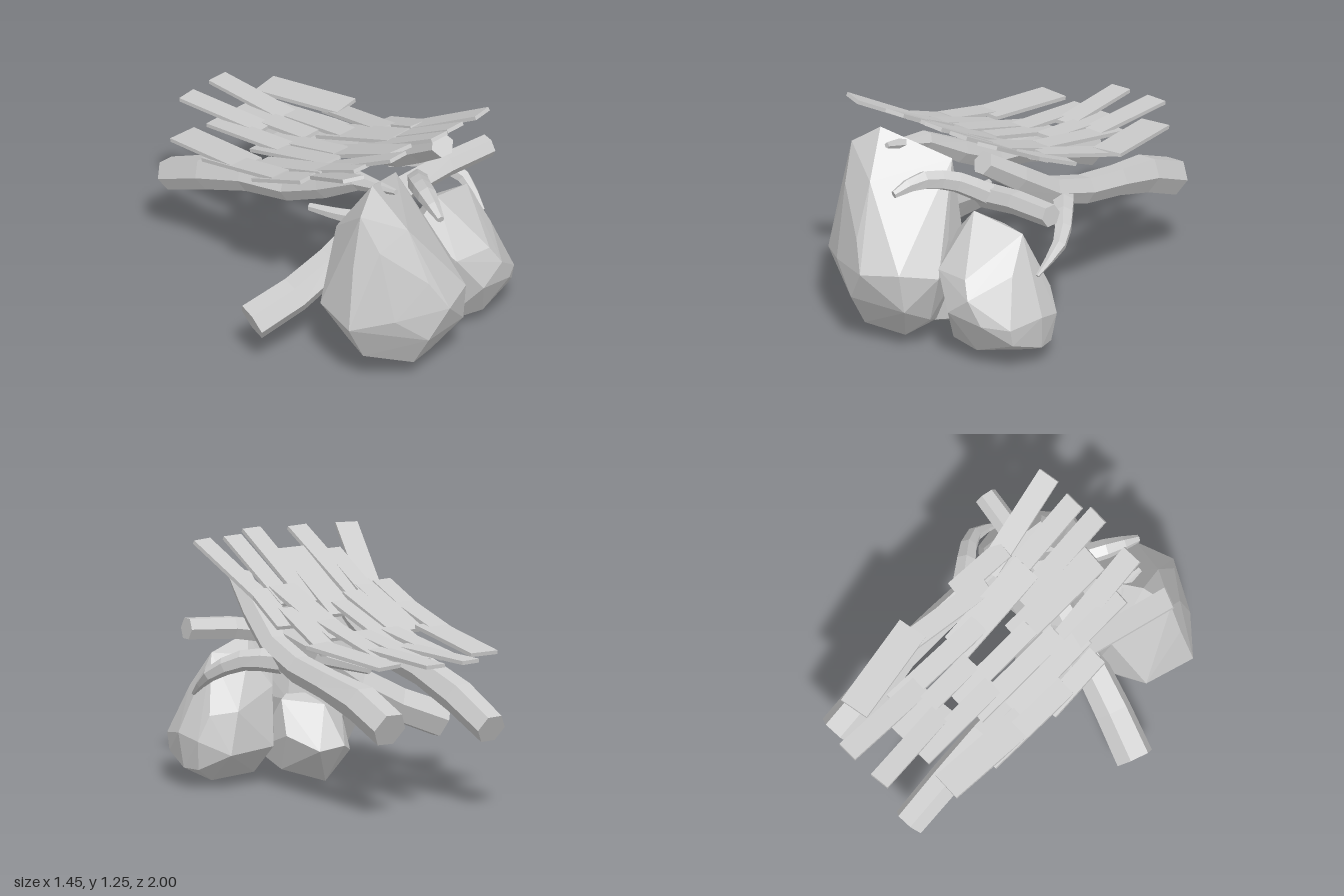
import * as THREE from 'three';
import { ConvexGeometry } from 'three/addons/geometries/ConvexGeometry.js';

const material = new THREE.MeshStandardMaterial({ color: 0xcccccc, flatShading: true });
const vec = (p) => new THREE.Vector3(p[0], p[1], p[2]);

function addMesh(group, name, geometry) {
  const mesh = new THREE.Mesh(geometry, material);
  mesh.name = name;
  group.add(mesh);
  return mesh;
}

// Closed, tapering, faceted log along a curve; each point is [x, y, z, radius]
function logGeometry(points, sides = 6, steps = 6) {
  const curve = new THREE.CatmullRomCurve3(points.map(vec));
  const { normals, binormals } = curve.computeFrenetFrames(steps);
  const last = points.length - 1;
  const pos = [], index = [];
  const addRing = (i, closed) => {
    const u = curve.getUtoTmapping(i / steps) * last;
    const k = Math.min(Math.floor(u), last - 1);
    const r = closed ? 0 : THREE.MathUtils.lerp(points[k][3], points[k + 1][3], u - k);
    const c = curve.getPointAt(i / steps);
    for (let j = 0; j < sides; j++) {
      const a = (j / sides) * Math.PI * 2;
      const p = c.clone().addScaledVector(normals[i], r * Math.cos(a))
        .addScaledVector(binormals[i], r * Math.sin(a));
      pos.push(p.x, p.y, p.z);
    }
  };
  addRing(0, true);
  for (let i = 0; i <= steps; i++) addRing(i, false);
  addRing(steps, true);
  for (let i = 0; i < steps + 2; i++) {
    for (let j = 0; j < sides; j++) {
      const n = (j + 1) % sides;
      const a = i * sides + j, d = i * sides + n, b = a + sides, c = d + sides;
      if (i > 0) index.push(a, d, b);
      if (i < steps + 1) index.push(d, c, b);
    }
  }
  const g = new THREE.BufferGeometry();
  g.setAttribute('position', new THREE.Float32BufferAttribute(pos, 3));
  g.setIndex(index);
  g.computeVertexNormals();
  return g;
}

// Sagging roof height at depth z
const roofHeight = (z) => 0.897 + 0.325 * z + 0.235 * z * z;

export function createModel() {
  const model = new THREE.Group();
  model.name = 'brokenRoofOnRocks';

  // Boulders
  const rocks = {
    tallRock: [
      [-0.28, 1.09, 0.62], [-0.2, 1.04, 0.56], [-0.42, 0.99, 0.68], [-0.2, 0.87, 0.8], [-0.38, 0.8, 0.78],
      [-0.48, 0.72, 0.69], [0.05, 0.95, 0.45], [0.15, 0.58, 0.6], [0.02, 0.72, 0.72], [-0.18, 0.6, 0.93],
      [-0.1, 0.45, 1.0], [0.21, 0.43, 0.75], [0.09, 0.47, 0.92], [-0.54, 0.38, 0.72], [-0.36, 0.42, 0.87],
      [-0.2, 0.28, 0.95], [0.1, 0.26, 0.89], [0.13, 0.17, 0.72], [-0.2, 0.1, 0.84], [0, 0.06, 0.76],
      [-0.13, 0.04, 0.72], [-0.3, 0.1, 0.62], [-0.42, 0.17, 0.7], [0, 0.06, 0.5], [-0.48, 0.4, 0.45],
      [-0.2, 0.3, 0.34], [0.1, 0.4, 0.4], [-0.3, 0.75, 0.38], [-0.12, 0.8, 0.44], [-0.3, 0.12, 0.46],
    ],
    shortRock: [
      [0.26, 0.75, 0.53], [0.53, 0.68, 0.47], [0.13, 0.6, 0.5], [0.4, 0.49, 0.77], [0.57, 0.5, 0.6],
      [0.2, 0.48, 0.74], [0.32, 0.3, 0.81], [0.45, 0.4, 0.81], [0.52, 0.27, 0.79], [0.7, 0.28, 0.52],
      [0.64, 0.25, 0.7], [0.68, 0.1, 0.5], [0.64, 0.16, 0.68], [0.55, 0.03, 0.44], [0.2, 0.06, 0.62],
      [0.42, 0.08, 0.7], [0.12, 0.15, 0.5], [0.3, 0.05, 0.42], [0.28, 0.2, 0.28], [0.55, 0.18, 0.27],
      [0.5, 0.4, 0.28], [0.25, 0.5, 0.33], [0.35, 0.66, 0.4], [0.62, 0.38, 0.36],
      [0.68, 0.25, 0.38], [0.66, 0.1, 0.4],
    ],
    backRock: [
      [0, 0, 0.22], [-0.08, 0.04, 0.36], [0.18, 0.06, 0.35], [0.2, 0.14, 0.55], [-0.14, 0.15, 0.2],
      [0.12, 0.18, 0.1], [-0.02, 0.2, 0.08], [0.22, 0.25, 0.25], [-0.16, 0.32, 0.3], [0.02, 0.4, 0.2],
      [0.18, 0.42, 0.35], [0, 0.45, 0.5], [-0.05, 0.05, 0.55],
    ],
  };
  for (const [name, points] of Object.entries(rocks)) {
    addMesh(model, name, new ConvexGeometry(points.map(vec)));
  }

  // Supporting logs with their tapering branches
  const logs = {
    rightLog: [[0.31, 1.03, 0.52, 0.065], [0.37, 0.87, 0.28, 0.075], [0.41, 0.72, 0.03, 0.075],
      [0.42, 0.63, -0.4, 0.08], [0.4, 0.58, -0.62, 0.1], [0.39, 0.47, -0.88, 0.1]],
    leftLog: [[-0.18, 1.04, 0.69, 0.015], [-0.17, 1.02, 0.52, 0.04], [-0.16, 0.87, 0.22, 0.065],
      [-0.15, 0.73, 0, 0.07], [-0.17, 0.64, -0.4, 0.08], [-0.19, 0.55, -0.66, 0.09],
      [-0.2, 0.42, -0.94, 0.085]],
    crossLog: [[-0.69, 0.25, 0.17, 0.1], [-0.35, 0.4, 0.27, 0.095], [0.02, 0.66, 0.34, 0.08],
      [0.22, 0.775, 0.38, 0.065], [0.7, 0.825, 0.45, 0.06]],
    hookedBranch: [[0.42, 0.69, 0.02, 0.065], [0.54, 0.69, 0.16, 0.055], [0.645, 0.61, 0.31, 0.04],
      [0.635, 0.48, 0.48, 0.01]],
    frontBranch: [[0.25, 0.79, 0.4, 0.06], [0.13, 0.88, 0.54, 0.055], [0.04, 0.91, 0.7, 0.05],
      [-0.01, 0.87, 0.84, 0.02]],
    backBranch: [[0, 0.63, 0.33, 0.05], [-0.06, 0.61, 0.15, 0.035], [-0.1, 0.595, -0.02, 0.022]],
  };
  for (const [name, points] of Object.entries(logs)) addMesh(model, name, logGeometry(points));

  // Roof planks, row by row: back x, back z, front x, front z, width
  const rows = {
    backPlank: [[-0.035, -0.99, 0.02, -0.47, 0.11], [0.19, -1, 0.19, -0.48, 0.115],
      [0.34, -0.81, 0.435, -0.31, 0.16], [-0.285, -0.76, -0.31, -0.24, 0.16]],
    upperPlank: [[-0.08, -0.74, -0.07, -0.22, 0.11], [0.09, -0.74, 0.1, -0.22, 0.11],
      [0.225, -0.64, 0.205, -0.06, 0.11], [0.41, -0.4, 0.32, 0.1, 0.11], [-0.33, -0.51, -0.345, 0.02, 0.115]],
    middlePlank: [[-0.11, -0.39, -0.125, 0.17, 0.11], [0.01, -0.41, 0, 0.1, 0.1],
      [0.21, -0.22, 0.225, 0.29, 0.16], [0.42, -0.03, 0.38, 0.28, 0.11],
      [-0.23, -0.24, -0.235, 0.25, 0.11], [-0.36, -0.12, -0.355, 0.23, 0.11]],
    frontPlank: [[-0.26, 0.18, -0.44, 0.65, 0.115], [-0.16, 0.15, -0.145, 0.67, 0.115],
      [0.03, 0.02, -0.01, 0.54, 0.155], [0.13, 0.16, 0.125, 0.69, 0.11], [0.26, 0.17, 0.265, 0.66, 0.11],
      [0.37, 0.15, 0.455, 0.66, 0.115], [-0.21, 0, -0.24, 0.5, 0.1]],
  };
  for (const [name, planks] of Object.entries(rows)) {
    planks.forEach(([x1, z1, x2, z2, width], i) => {
      const back = new THREE.Vector3(x1, roofHeight(z1) - 0.015, z1);
      const front = new THREE.Vector3(x2, roofHeight(z2) + 0.005, z2);
      const plank = addMesh(model, name + (i + 1), new THREE.BoxGeometry(width, 0.02, back.distanceTo(front)));
      plank.position.copy(back).lerp(front, 0.5);
      plank.lookAt(front);
    });
  }
  return model;
}
